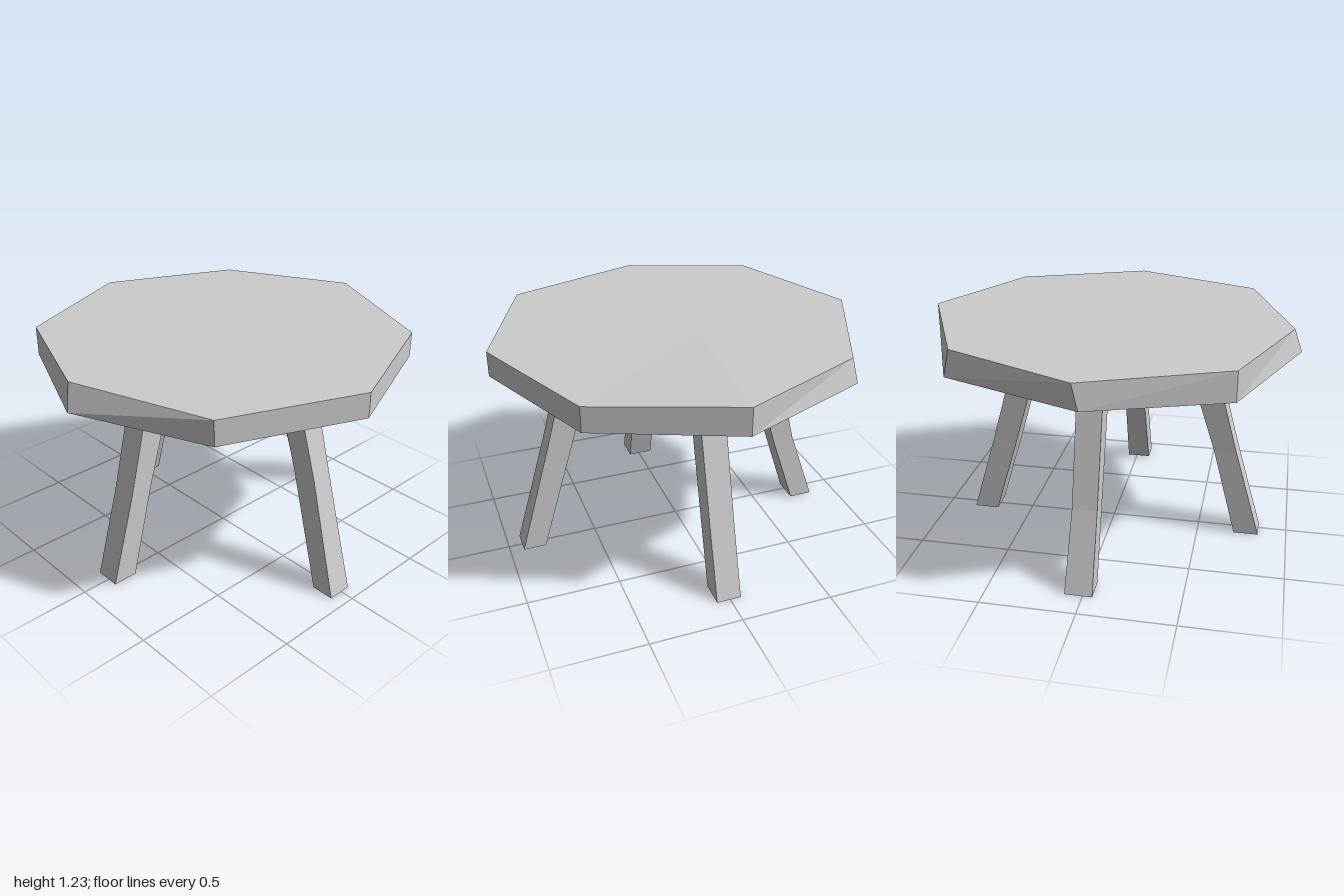
import * as THREE from 'three';

// Loft between rings of [x, y, z] corners (counter-clockwise from above),
// closed by a fan to a centre point at each end.
function loft(name, rings, bottomCentre, topCentre, material) {
  const positions = [];
  const tri = (...corners) => corners.forEach((p) => positions.push(...p));
  const n = rings[0].length;
  const last = rings[rings.length - 1];
  for (let i = 0; i < n; i++) {
    const j = (i + 1) % n;
    for (let r = 0; r < rings.length - 1; r++) {
      const low = rings[r], high = rings[r + 1];
      tri(low[i], low[j], high[j]);
      tri(low[i], high[j], high[i]);
    }
    tri(topCentre, last[i], last[j]);
    tri(bottomCentre, rings[0][j], rings[0][i]);
  }
  const geometry = new THREE.BufferGeometry();
  geometry.setAttribute('position', new THREE.Float32BufferAttribute(positions, 3));
  geometry.computeVertexNormals();
  const mesh = new THREE.Mesh(geometry, material);
  mesh.name = name;
  return mesh;
}

// Octagon with its first corner on +x, turning towards the back
const octagon = (y) => Array.from({ length: 8 }, (_, i) => {
  const a = (i * Math.PI) / 4;
  return [Math.cos(a), y, -Math.sin(a)];
});

// Four-sided leg from sections [y, xMin, xMax, zMin, zMax]
function leg(name, sections, material) {
  const rings = sections.map(([y, x0, x1, z0, z1]) =>
    [[x1, y, z1], [x1, y, z0], [x0, y, z0], [x0, y, z1]]);
  const centre = ([y, x0, x1, z0, z1]) => [(x0 + x1) / 2, y, (z0 + z1) / 2];
  return loft(name, rings, centre(sections[0]), centre(sections[sections.length - 1]), material);
}

export function createModel() {
  const group = new THREE.Group();
  group.name = 'table';
  const material = new THREE.MeshStandardMaterial({ color: 0xcccccc, flatShading: true });

  // Rough-cut top: a regular octagon with a few corners nudged
  const under = octagon(1.08);
  const upper = octagon(1.215);
  upper[0] = [1, 1.23, 0];
  upper[1] = [0.685, 1.215, -0.68];
  upper[4] = [-0.955, 1.215, -0.04];
  under[2] = [-0.03, 1.08, -1];
  under[3][1] = 1.058;
  group.add(loft('tabletop', [under, upper], [0, 1.08, 0], [0.13, 1.217, -0.08], material));

  // Splayed, slightly crooked legs
  const legs = {
    leftLeg: [
      [0, 0.70, 0.837, -0.06, 0.073],
      [0.43, 0.57, 0.707, -0.06, 0.073],
      [1.085, 0.38, 0.52, -0.063, 0.073],
    ],
    rightLeg: [
      [0, -0.843, -0.707, -0.08, 0.06],
      [0.5, -0.697, -0.575, -0.08, 0.06],
      [1.085, -0.54, -0.39, -0.095, 0.05],
    ],
    frontLeg: [
      [0, -0.08, 0.055, 0.80, 0.925],
      [0.63, -0.06, 0.055, 0.61, 0.745],
      [1.085, -0.073, 0.055, 0.48, 0.62],
    ],
    backLeg: [
      [0, -0.05, 0.095, -0.85, -0.72],
      [0.42, -0.05, 0.08, -0.708, -0.585],
      [1.085, -0.055, 0.08, -0.545, -0.395],
    ],
  };
  for (const [name, sections] of Object.entries(legs)) group.add(leg(name, sections, material));

  return group;
}
